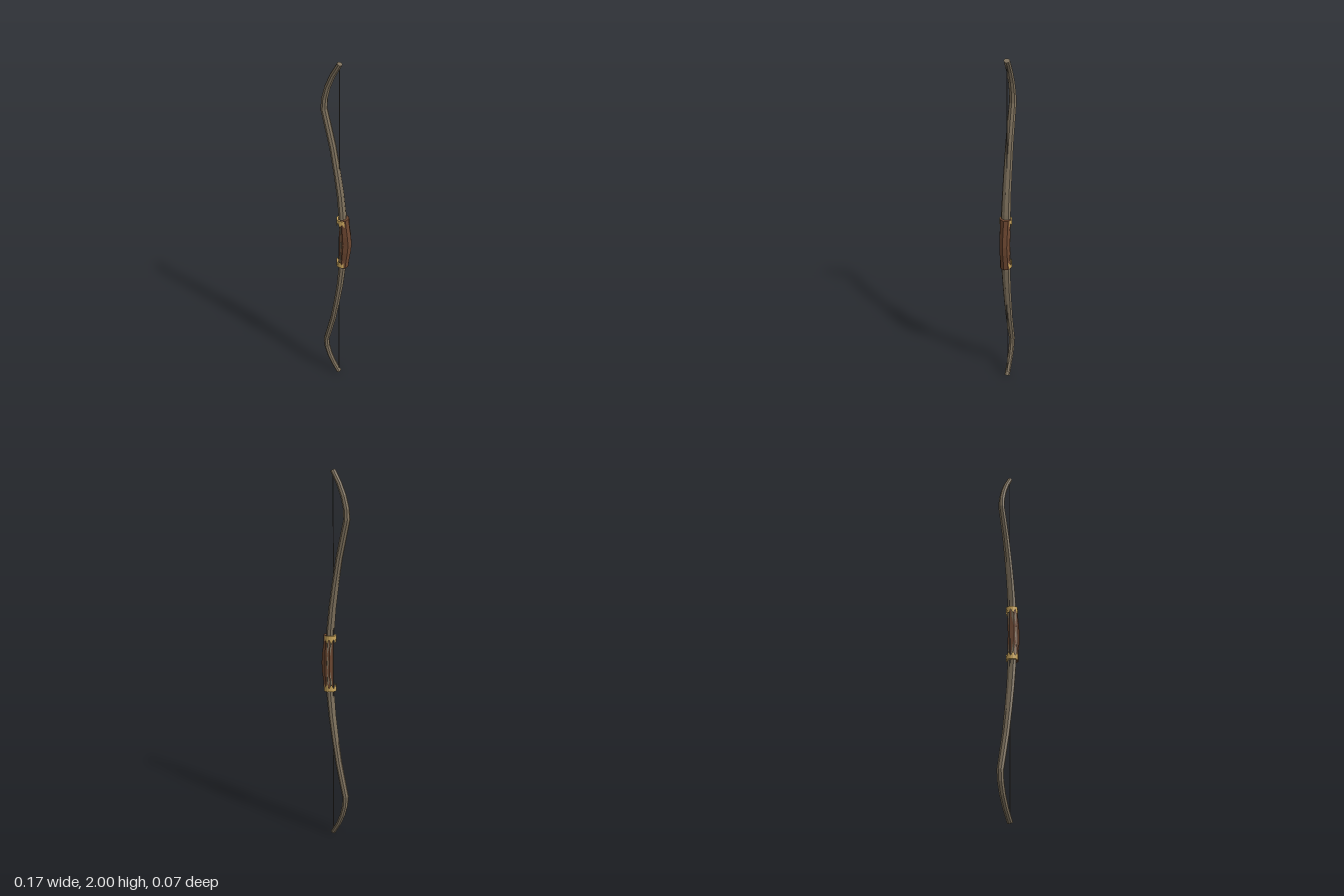
import * as THREE from 'three';

const wood = new THREE.MeshStandardMaterial({ color: 0x7d705c, flatShading: true });
const leather = new THREE.MeshStandardMaterial({ color: 0x6b4630, flatShading: true });
const gold = new THREE.MeshStandardMaterial({ color: 0xc9a55c, flatShading: true, side: THREE.DoubleSide });
const cord = new THREE.MeshStandardMaterial({ color: 0x55504a });

// Closed loft through upward sections [x, y, radiusInPlane, radiusZ]
function loft(sections, sides = 8) {
  const pos = [], index = [], n = sections.length;
  sections.forEach(([x, y, rx, rz], i) => {
    const a = sections[Math.max(i - 1, 0)], b = sections[Math.min(i + 1, n - 1)];
    const t = new THREE.Vector2(b[0] - a[0], b[1] - a[1]).normalize();
    for (let j = 0; j < sides; j++) {
      const ang = (j / sides) * Math.PI * 2, c = Math.cos(ang) * rx;
      pos.push(x + t.y * c, y - t.x * c, Math.sin(ang) * rz);
    }
  });
  for (let i = 0; i < n - 1; i++) {
    for (let j = 0; j < sides; j++) {
      const k = (j + 1) % sides, a = i * sides + j, c = i * sides + k;
      index.push(a, a + sides, c, c, a + sides, c + sides);
    }
  }
  const top = (n - 1) * sides;
  for (let j = 1; j < sides - 1; j++) {
    index.push(0, j, j + 1, top, top + j + 1, top + j);
  }
  const geo = new THREE.BufferGeometry();
  geo.setAttribute('position', new THREE.Float32BufferAttribute(pos, 3));
  geo.setIndex(index);
  geo.computeVertexNormals();
  return geo;
}

// Mirror half a section list about y = 1 so it runs from bottom to top
const mirrored = (half) => [
  ...half.slice(1).reverse().map(([x, y, a, b]) => [x, 2 - y, a, b]),
  ...half,
];

export function createModel() {
  const group = new THREE.Group();
  const add = (name, geo, mat) => {
    const mesh = new THREE.Mesh(geo, mat);
    mesh.name = name;
    group.add(mesh);
    return mesh;
  };

  // Recurved stave, tapering to the tips
  add('stave', loft(mirrored([
    [0.036, 1.0, 0.02, 0.026],
    [0.03, 1.18, 0.019, 0.026],
    [0.018, 1.3, 0.018, 0.024],
    [0.0, 1.42, 0.017, 0.023],
    [-0.024, 1.56, 0.017, 0.021],
    [-0.052, 1.68, 0.017, 0.02],
    [-0.07, 1.755, 0.017, 0.019],
    [-0.066, 1.81, 0.016, 0.018],
    [-0.05, 1.87, 0.015, 0.017],
    [-0.024, 1.93, 0.014, 0.016],
    [0.013, 1.993, 0.013, 0.016],
  ])), wood);

  // Leather grip, bulging away from the string
  add('grip', loft(mirrored([
    [0.048, 1.0, 0.037, 0.028],
    [0.046, 1.05, 0.034, 0.03],
    [0.042, 1.1, 0.03, 0.028],
    [0.039, 1.155, 0.027, 0.031],
  ])), leather);

  // Metal collars with a toothed edge towards the grip
  const collar = new THREE.CylinderGeometry(1, 1, 1, 16, 1, true);
  const p = collar.attributes.position;
  for (let i = 0; i < p.count; i++) {
    const column = i % 17;
    const y = p.getY(i) > 0 ? 1.153 : (column % 2 ? 1.135 : 1.11);
    p.setXYZ(i, 0.031 + p.getX(i) * 0.032, y, p.getZ(i) * 0.033);
  }
  collar.computeVertexNormals();
  const rim = new THREE.RingGeometry(0.4, 1, 16);
  rim.rotateX(-Math.PI / 2).scale(0.032, 1, 0.033).translate(0.031, 1.153, 0);
  for (const upper of [true, false]) {
    const ends = new THREE.Group();
    ends.name = upper ? 'upperCollar' : 'lowerCollar';
    for (const [name, geo] of [['collarBand', collar], ['collarRim', rim]]) {
      const mesh = new THREE.Mesh(geo, gold);
      mesh.name = name;
      ends.add(mesh);
    }
    if (!upper) {
      ends.rotation.x = Math.PI;
      ends.position.y = 2;
    }
    group.add(ends);
  }

  // String between the two tips
  add('string', new THREE.CylinderGeometry(0.0025, 0.0025, 1.97, 6), cord).position.set(0.012, 1, 0);

  return group;
}
